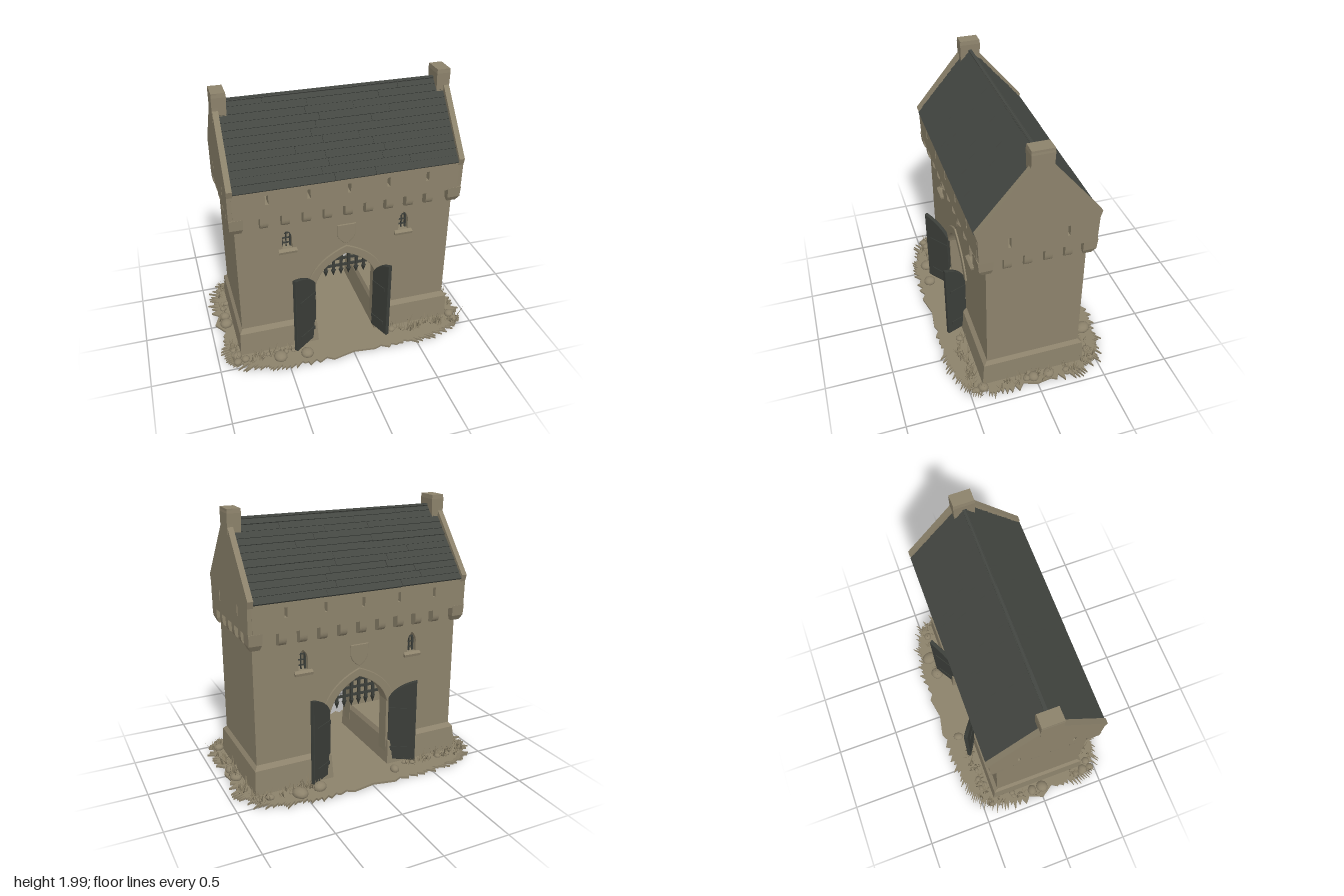
import * as THREE from 'three';
import { mergeGeometries } from 'three/addons/utils/BufferGeometryUtils.js';

const std = (name, color, side = THREE.FrontSide) => {
  const m = new THREE.MeshStandardMaterial({ color, side });
  m.name = name;
  return m;
};
const stone = std('stone', 0x8c826b);
const timber = std('roof timber', 0x434641);
const darkWood = std('dark wood and iron', 0x3b3e39);
const grassMat = std('dry grass', 0x857b63, THREE.DoubleSide);

let seed = 7;
const rnd = (a = 0, b = 1) => {
  seed = (seed * 16807) % 2147483647;
  return a + (b - a) * (seed / 2147483647);
};

function put(parent, name, geo, mat, x = 0, y = 0, z = 0) {
  const m = new THREE.Mesh(geo, mat);
  m.name = name;
  m.position.set(x, y, z);
  parent.add(m);
  return m;
}
const box = (w, h, d, x = 0, y = 0, z = 0) => new THREE.BoxGeometry(w, h, d).translate(x, y, z);
const extrude = (shape, depth, bevel = 0) => new THREE.ExtrudeGeometry(shape, {
  depth, curveSegments: 10, bevelEnabled: bevel > 0, bevelSize: bevel, bevelThickness: bevel, bevelSegments: 2 });
const poly = (pts) => new THREE.Shape(pts.map(p => new THREE.Vector2(p[0], p[1])));

// Solid with a rectangular section at each height; sections are [y, x0, x1, z0, z1]
function stack(sections) {
  const pos = [], idx = [], n = sections.length;
  for (const [y, x0, x1, z0, z1] of sections) pos.push(x0, y, z1, x1, y, z1, x1, y, z0, x0, y, z0);
  for (let s = 0; s < n - 1; s++) for (let i = 0; i < 4; i++) {
    const a = s * 4 + i, b = s * 4 + (i + 1) % 4;
    idx.push(a, b, b + 4, a, b + 4, a + 4);
  }
  const t = (n - 1) * 4;
  idx.push(0, 2, 1, 0, 3, 2, t, t + 1, t + 2, t, t + 2, t + 3);
  const g = new THREE.BufferGeometry();
  g.setAttribute('position', new THREE.Float32BufferAttribute(pos, 3));
  g.setIndex(idx);
  const flat = g.toNonIndexed();
  flat.computeVertexNormals();
  return flat;
}

// Bracket under the overhang, projecting along +z
function corbel(width, out) {
  const s = new THREE.Shape();
  s.moveTo(-0.02, 1.2);
  s.lineTo(-0.02, 1.1);
  s.lineTo(out * 0.3, 1.1);
  s.quadraticCurveTo(out, 1.11, out, 1.16);
  s.lineTo(out, 1.2);
  return extrude(s, width).rotateY(-Math.PI / 2).translate(width / 2, 0, 0);
}

// One long face; the back is the same turned round
function buildFace() {
  const g = new THREE.Group();
  const wall = new THREE.Shape();
  wall.moveTo(0.8, 0); wall.lineTo(0.8, 1.2); wall.lineTo(-0.8, 1.2); wall.lineTo(-0.8, 0); wall.lineTo(-0.23, 0);
  wall.lineTo(-0.23, 0.53);
  wall.quadraticCurveTo(-0.19, 0.69, 0, 0.765);
  wall.quadraticCurveTo(0.19, 0.69, 0.23, 0.53);
  wall.lineTo(0.23, 0);
  for (const x of [-0.435, 0.435]) {
    const h = new THREE.Path();
    h.moveTo(x - 0.036, 0.88); h.lineTo(x + 0.036, 0.88); h.lineTo(x + 0.036, 0.97);
    h.quadraticCurveTo(x + 0.03, 1.01, x, 1.035);
    h.quadraticCurveTo(x - 0.03, 1.01, x - 0.036, 0.97);
    wall.holes.push(h);
    put(g, 'windowSill', stack([[0.85, -0.065, 0.065, 0.33, 0.37], [0.87, -0.07, 0.07, 0.33, 0.375], [0.885, -0.065, 0.065, 0.33, 0.355]]), stone, x);
    const bars = [-0.03, 0, 0.03].map(b => box(b ? 0.012 : 0.007, b ? 0.12 : 0.15, 0.012, b, b ? 0.94 : 0.955, 0.31));
    for (const y of [0.91, 0.95, 0.99]) bars.push(box(0.07, 0.007, 0.012, 0, y, 0.31));
    put(g, 'windowGrille', mergeGeometries(bars), darkWood, x);
  }
  put(g, 'gateWall', extrude(wall, 0.1), stone, 0, 0, 0.25);

  // Raised moulding round the pointed arch
  const arch = new THREE.Shape();
  arch.moveTo(0.235, 0.53);
  arch.quadraticCurveTo(0.195, 0.69, 0, 0.77);
  arch.quadraticCurveTo(-0.195, 0.69, -0.235, 0.53);
  arch.lineTo(-0.285, 0.56);
  arch.quadraticCurveTo(-0.225, 0.74, 0, 0.825);
  arch.quadraticCurveTo(0.225, 0.74, 0.285, 0.56);
  put(g, 'archMoulding', extrude(arch, 0.012, 0.005), stone, 0, 0, 0.345);

  // Plain shield plaque
  const sh = new THREE.Shape();
  sh.moveTo(-0.065, 1.005); sh.lineTo(0.065, 1.005); sh.lineTo(0.065, 0.93);
  sh.quadraticCurveTo(0.055, 0.88, 0, 0.85);
  sh.quadraticCurveTo(-0.055, 0.88, -0.065, 0.93);
  put(g, 'shieldPlaque', extrude(sh, 0.008, 0.005), stone, 0, 0, 0.345);

  // Overhanging storey with arrow slots
  const upper = poly([[-0.81, 1.2], [0.81, 1.2], [0.81, 1.42], [-0.81, 1.42]]);
  for (const x of [-0.575, -0.285, 0, 0.285, 0.575])
    upper.holes.push(new THREE.Path(poly([[x - 0.011, 1.3], [x - 0.011, 1.37], [x + 0.011, 1.37], [x + 0.011, 1.3]]).getPoints()));
  put(g, 'upperWall', extrude(upper, 0.08), stone, 0, 0, 0.33);
  for (let i = -4; i <= 4; i++) put(g, 'corbel', corbel(0.055, 0.06), stone, i * 0.15, 0, 0.35);

  // Portcullis with pointed bars
  const pc = [];
  for (let i = -3; i <= 3; i++) {
    const top = 0.77 - Math.abs(i) * 0.03;
    pc.push(box(0.02, top - 0.52, 0.02, i * 0.06, (top + 0.52) / 2, 0));
    pc.push(new THREE.ConeGeometry(0.021, 0.055, 4).rotateX(Math.PI).translate(i * 0.06, 0.505, 0));
  }
  for (const y of [0.57, 0.63, 0.69]) pc.push(box(y > 0.65 ? 0.36 : 0.46, 0.018, 0.014, 0, y, 0));
  put(g, 'portcullis', mergeGeometries(pc), darkWood, 0, 0, 0.23);

  // Roof slope of overlapping boards
  const a = Math.atan2(0.49, 0.42), len = 0.645, rows = 12, step = len / rows;
  const boards = [];
  for (let r = 0; r < rows; r++) {
    const cuts = [-0.8, rnd(-0.5, -0.1), rnd(0.1, 0.5), 0.8];
    for (let c = 0; c < 3; c++) {
      const b = box(cuts[c + 1] - cuts[c] - 0.002, 0.014, step * 1.12 + rnd(0, 0.008));
      const d = (r + 0.5) * step, lift = -0.009 + rnd(-0.002, 0.002);
      b.rotateX(a - 0.1);
      b.translate((cuts[c] + cuts[c + 1]) / 2, 1.91 - d * Math.sin(a) + lift * Math.cos(a), d * Math.cos(a) + lift * Math.sin(a));
      boards.push(b);
    }
  }
  put(g, 'roofBoards', mergeGeometries(boards), timber);
  return g;
}

// One end of the building; the other is the same turned round
function buildEnd() {
  const g = new THREE.Group();
  put(g, 'sideWall', box(0.1, 1.2, 0.7, 0.75, 0.6), stone);
  put(g, 'plinth', stack([[0, 0.225, 0.83, -0.395, 0.395], [0.2, 0.235, 0.822, -0.38, 0.38], [0.235, 0.25, 0.795, -0.345, 0.345]]), stone);
  const half = [[0.405, 1.2], [0.41, 1.39], [0.425, 1.44], [0.075, 1.86], [0.075, 1.98]];
  const gable = poly([...half, ...half.map(p => [-p[0], p[1]]).reverse()]);
  for (const z of [-0.2, 0.2])
    gable.holes.push(new THREE.Path(poly([[z - 0.009, 1.29], [z - 0.009, 1.37], [z + 0.009, 1.37], [z + 0.009, 1.29]]).getPoints()));
  put(g, 'gable', extrude(gable, 0.04).rotateY(-Math.PI / 2), stone, 0.84);
  put(g, 'chimney', stack([[1.78, 0.75, 0.842, -0.072, 0.072], [1.95, 0.742, 0.842, -0.077, 0.077], [1.98, 0.745, 0.838, -0.074, 0.074]]), stone);
  for (const z of [-0.21, -0.07, 0.07, 0.21]) put(g, 'sideCorbel', corbel(0.055, 0.035).rotateY(Math.PI / 2), stone, 0.8, 0, z);
  for (const s of [-1, 1]) {
    const zs = (i, o) => [Math.min(s * i, s * o), Math.max(s * i, s * o)];
    put(g, 'cornerCorbel', stack([[1.09, 0.755, 0.82, ...zs(0.32, 0.38)], [1.13, 0.745, 0.838, ...zs(0.31, 0.405)], [1.21, 0.74, 0.84, ...zs(0.31, 0.412)]]), stone);
  }
  return g;
}

// Door leaf swung out from its hinge to the point (x1, z1)
function door(x0, z0, x1, z1) {
  const g = new THREE.Group(), w = Math.hypot(x1 - x0, z1 - z0);
  g.name = 'doorLeaf';
  const s = new THREE.Shape();
  s.moveTo(0, 0.05); s.lineTo(w, 0.05); s.lineTo(w, 0.69);
  s.quadraticCurveTo(w * 0.3, 0.65, 0, 0.55);
  put(g, 'doorPanel', extrude(s, 0.022, 0.004), darkWood, 0, 0, -0.011);
  for (const y of [0.14, 0.46]) put(g, 'doorStrap', box(w * 0.8, 0.03, 0.04, w * 0.4, y), darkWood);
  g.position.set(x0, 0, z0);
  g.rotation.y = Math.atan2(z0 - z1, x1 - x0);
  return g;
}

// Ragged earth patch
function groundGeometry() {
  const pts = [], n = 300;
  for (let i = 0; i < n; i++) {
    const t = i / n * Math.PI * 2, c = Math.cos(t), s = Math.sin(t);
    const k = i % 2 ? rnd(0.96, 1.0) : rnd(0.99, 1.07);
    pts.push([0.93 * k * Math.sign(c) * Math.abs(c) ** 0.45, 0.605 * k * Math.sign(s) * Math.abs(s) ** 0.45]);
  }
  return extrude(poly(pts), 0.016).rotateX(-Math.PI / 2);
}

// Random spot on the strip round the walls, clear of the gateways
function edgeSpot(out) {
  if (rnd() < 0.62) return [(rnd() < 0.5 ? -1 : 1) * rnd(0.34, 0.88), (rnd() < 0.5 ? -1 : 1) * (0.42 + out)];
  return [(rnd() < 0.5 ? -1 : 1) * (0.84 + out), rnd(-0.45, 0.45)];
}

export function createModel() {
  const root = new THREE.Group();
  root.name = 'gatehouse';
  for (const turn of [0, Math.PI]) {
    const face = buildFace(), end = buildEnd();
    face.name = turn ? 'backFace' : 'frontFace';
    end.name = turn ? 'rightEnd' : 'leftEnd';
    face.rotation.y = end.rotation.y = turn;
    root.add(face, end);
  }
  put(root, 'upperFloor', box(1.66, 0.02, 0.81, 0, 1.205), stone);
  put(root, 'roofCore', extrude(poly([[-0.39, 1.415], [0.39, 1.415], [0, 1.875]]), 1.6).rotateY(Math.PI / 2), timber, -0.8);
  put(root, 'ridgeBoard', box(1.6, 0.02, 0.024, 0, 1.9), timber);

  root.add(door(-0.25, 0.36, -0.425, 0.49), door(0.225, 0.36, 0.285, 0.515));
  root.add(door(-0.25, -0.36, -0.42, -0.465), door(0.25, -0.36, 0.42, -0.465));

  put(root, 'ground', groundGeometry(), stone);
  // Boulders and small stones along the foot of the walls
  const rocks = [];
  const rock = (x, z, r) => {
    const g = new THREE.IcosahedronGeometry(r, 1);
    rocks.push(g.scale(rnd(0.9, 1.2), 0.7, rnd(0.8, 1.1)).rotateY(rnd(0, 6)).translate(x, 0.015 + r * 0.3, z));
  };
  for (const [x, z, r] of [[-0.55, 0.5, 0.05], [-0.35, 0.52, 0.05], [0.54, -0.51, 0.055], [0.38, -0.49, 0.05], [-0.23, -0.5, 0.04],
    [0.88, 0.02, 0.045], [0.88, -0.1, 0.04], [-0.88, 0.02, 0.05], [-0.88, -0.07, 0.045], [-0.86, 0.4, 0.04], [0.86, 0.4, 0.04]]) rock(x, z, r);
  for (let i = 0; i < 34; i++) rock(...edgeSpot(rnd(0, 0.05)), rnd(0.015, 0.032));
  put(root, 'rocks', mergeGeometries(rocks), stone);

  // Tufts of thin grass blades
  const blades = [];
  for (let i = 0; i < 110; i++) {
    const [x, z] = edgeSpot(rnd(0, 0.07));
    for (let j = 0; j < 6; j++) {
      const t = rnd(0, 6.28), c = Math.cos(t), s = Math.sin(t), h = rnd(0.03, 0.09), lean = rnd(0.01, 0.045);
      const bx = x + rnd(-0.02, 0.02), bz = z + rnd(-0.02, 0.02);
      blades.push(bx - s * 0.006, 0.012, bz + c * 0.006, bx + s * 0.006, 0.012, bz - c * 0.006, bx + c * lean, 0.012 + h, bz + s * lean);
    }
  }
  const grass = new THREE.BufferGeometry();
  grass.setAttribute('position', new THREE.Float32BufferAttribute(blades, 3));
  grass.computeVertexNormals();
  put(root, 'grass', grass, grassMat);
  return root;
}
